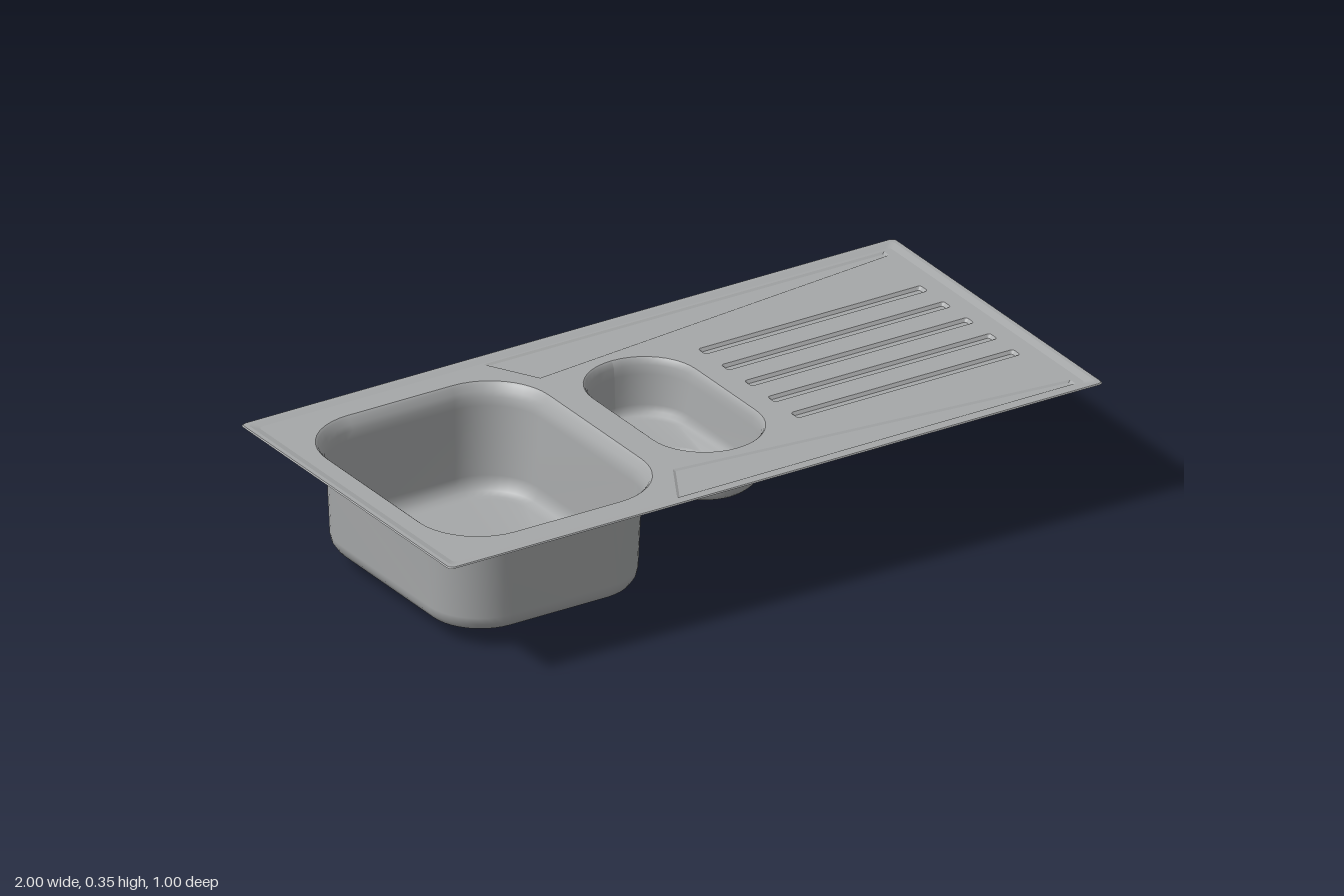
import * as THREE from 'three';

const DECK = 0.343;
const steel = new THREE.MeshStandardMaterial({ color: 0xa6a8a9, side: THREE.DoubleSide });
steel.name = 'brushed steel';
const dark = new THREE.MeshStandardMaterial({ color: 0x2c3837, side: THREE.DoubleSide });
dark.name = 'dark drain';

// Horizontal rounded rectangle as a loop of points; a circle when hx = hz = r
function ring(cx, cz, hx, hz, r, y, n = 10) {
  const pts = [];
  const signs = [[1, 1], [-1, 1], [-1, -1], [1, -1]];
  signs.forEach(([sx, sz], q) => {
    for (let i = 0; i <= n; i++) {
      const a = (q + i / n) * Math.PI / 2;
      pts.push(new THREE.Vector3(
        cx + sx * (hx - r) + r * Math.cos(a), y, cz + sz * (hz - r) + r * Math.sin(a)));
    }
  });
  return pts;
}

// Skin through a list of loops with equal point counts
function loft(rings, flat = false) {
  const n = rings[0].length, index = [];
  for (let j = 0; j < rings.length - 1; j++) {
    for (let i = 0; i < n; i++) {
      const a = j * n + i, b = j * n + (i + 1) % n, c = a + n, d = b + n;
      index.push(a, c, b, b, c, d);
    }
  }
  let g = new THREE.BufferGeometry().setFromPoints(rings.flat());
  g.setIndex(index);
  if (flat) g = g.toNonIndexed();
  g.computeVertexNormals();
  return g;
}

// Flat horizontal sheet bounded by a loop, facing up, with holes
function sheet(loop, holes = []) {
  const to2 = (p) => new THREE.Vector2(p.x, -p.z);
  const s = new THREE.Shape(loop.map(to2));
  holes.forEach((h) => s.holes.push(new THREE.Path(h.map(to2))));
  return new THREE.ShapeGeometry(s).rotateX(-Math.PI / 2).translate(0, loop[0].y, 0);
}

function add(parent, name, geometry, material = steel) {
  const m = new THREE.Mesh(geometry, material);
  m.name = name;
  parent.add(m);
}

const circle = (x, z, r, y, n = 10) => ring(x, z, r, r, r, y, n);

// Drain cup with a perforated strainer and a dark base
function drain(x, bottom, top) {
  const g = new THREE.Group();
  g.name = 'drain';
  add(g, 'drainCup', loft([
    circle(x, 0, 0.095, top), circle(x, 0, 0.085, top - 0.004),
    circle(x, 0, 0.077, top - 0.011), circle(x, 0, 0.075, top - 0.018),
    circle(x, 0, 0.075, bottom)]));
  add(g, 'drainBase', sheet(circle(x, 0, 0.075, bottom)), dark);
  const holes = [circle(x, 0, 0.006, 0, 3)];
  [[0.019, 6], [0.036, 12], [0.053, 16]].forEach(([r, n]) => {
    for (let i = 0; i < n; i++) {
      const a = i / n * Math.PI * 2;
      holes.push(circle(x + r * Math.cos(a), r * Math.sin(a), 0.006, 0, 3));
    }
  });
  const y = top - 0.014;
  add(g, 'strainer', sheet(circle(x, 0, 0.068, y), holes));
  add(g, 'strainerRim', loft([
    circle(x, 0, 0.078, y + 0.002), circle(x, 0, 0.072, y + 0.005), circle(x, 0, 0.067, y)]));
  return g;
}

// Basin walls from [half width, half depth, corner radius, height] steps, then a floor sloping to the drain
function basin(name, cx, steps, drainX, bottom, top) {
  const g = new THREE.Group();
  g.name = name;
  const rings = steps.map(([hx, hz, r, y]) => ring(cx, 0, hx, hz, r, y));
  add(g, name + 'Bowl', loft([...rings, circle(drainX, 0, 0.095, top)]));
  g.add(drain(drainX, bottom, top));
  return { group: g, opening: rings[0] };
}

export function createModel() {
  const model = new THREE.Group();
  model.name = 'kitchenSink';
  const holes = [];

  const basins = [
    basin('mainBasin', -0.575, [
      [0.34, 0.4, 0.18, DECK], [0.334, 0.394, 0.175, 0.338], [0.325, 0.385, 0.168, 0.322],
      [0.318, 0.38, 0.163, 0.308], [0.313, 0.377, 0.16, 0.285], [0.305, 0.37, 0.155, 0.09],
      [0.301, 0.366, 0.152, 0.07], [0.29, 0.355, 0.143, 0.053], [0.274, 0.338, 0.13, 0.046],
      [0.262, 0.325, 0.12, 0.044]], -0.475, 0, 0.03),
    basin('smallBasin', 0.0075, [
      [0.1575, 0.3, 0.157, DECK], [0.153, 0.295, 0.152, 0.339], [0.147, 0.288, 0.146, 0.325],
      [0.144, 0.285, 0.143, 0.3], [0.138, 0.281, 0.137, 0.215], [0.134, 0.277, 0.133, 0.198],
      [0.125, 0.267, 0.124, 0.189], [0.112, 0.25, 0.111, 0.185]], 0.005, 0.143, 0.174),
  ];
  basins.forEach((b) => {
    model.add(b.group);
    holes.push(b.opening);
  });

  // Shallow recess: open top loop, sloped wall, flat floor
  function recess(name, upper, lower) {
    holes.push(upper);
    const g = new THREE.Group();
    g.name = name;
    add(g, name + 'Wall', loft([upper, lower], true));
    add(g, name + 'Floor', sheet(lower));
    model.add(g);
  }

  // Five drainer grooves
  for (let i = -2; i <= 2; i++) {
    const z = i * 0.11;
    recess('drainerGroove',
      ring(0.572, z, 0.34, 0.018, 0.008, DECK, 3),
      ring(0.572, z, 0.332, 0.011, 0.005, DECK - 0.008, 3));
  }

  // Tapered side recesses, mirrored front to back
  for (const s of [-1, 1]) {
    const corners = [[-0.28, 0.46], [0.94, 0.455], [0.94, 0.43], [-0.2, 0.315]];
    const inner = [[-0.268, 0.453], [0.932, 0.448], [0.932, 0.436], [-0.196, 0.322]];
    const loop = (list, y) => list.map(([x, z]) => new THREE.Vector3(x, y, s * z));
    recess('taperedRecess', loop(corners, DECK), loop(inner, DECK - 0.004));
  }

  // Deck sheet with its raised outer rim
  const deckEdge = ring(0, 0, 0.965, 0.465, 0.012, DECK, 4);
  add(model, 'deck', sheet(deckEdge, holes));
  add(model, 'rim', loft([
    ring(0, 0, 1, 0.5, 0.015, 0.345, 4), ring(0, 0, 0.997, 0.497, 0.014, 0.348, 4),
    ring(0, 0, 0.985, 0.485, 0.013, 0.348, 4), deckEdge], true));

  return model;
}
